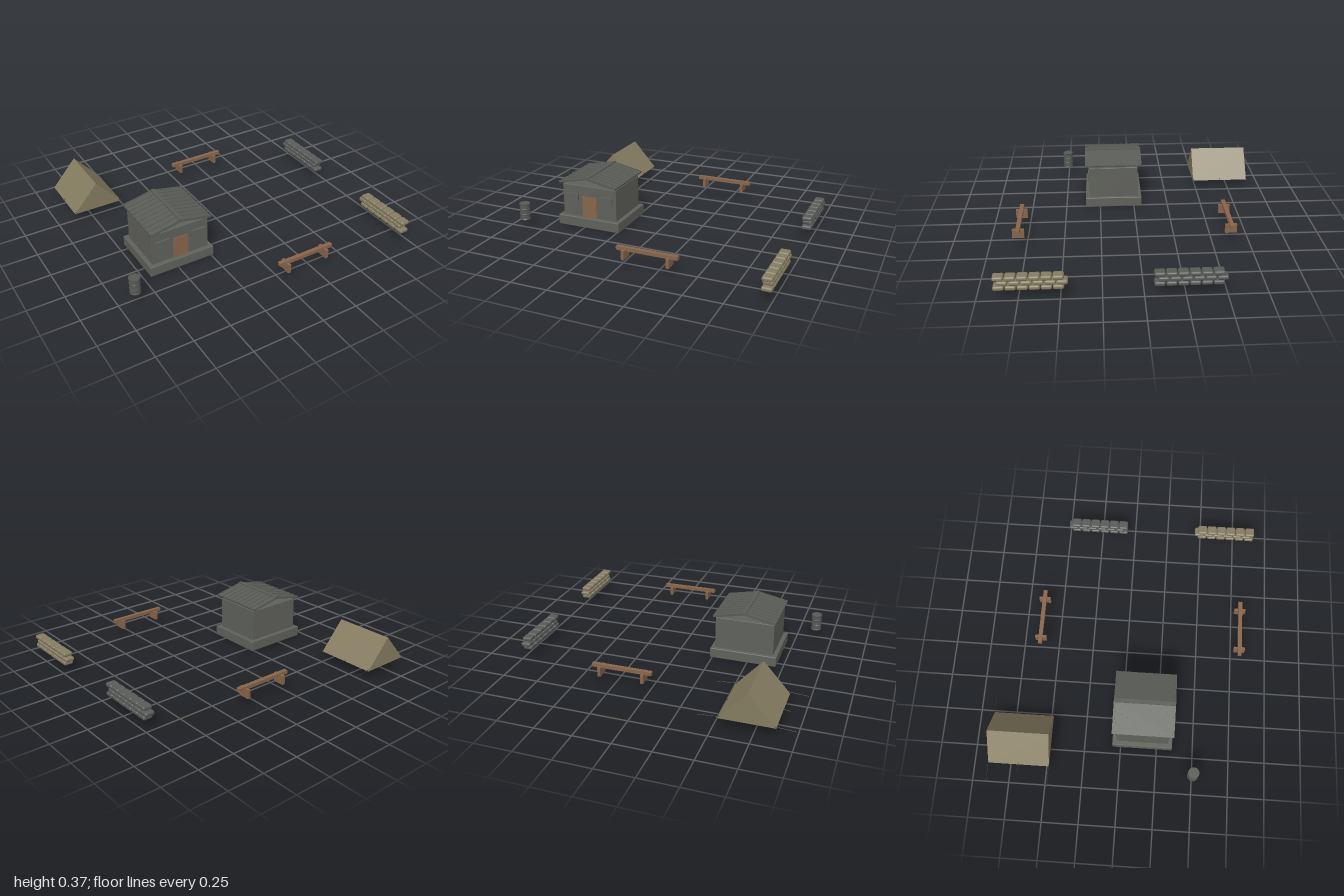
import * as THREE from 'three';
import { RoundedBoxGeometry } from 'three/addons/geometries/RoundedBoxGeometry.js';

const mat = (name, color, extra = {}) => {
  const m = new THREE.MeshStandardMaterial({ color, ...extra });
  m.name = name;
  return m;
};

export function createModel() {
  const concrete = mat('concrete', 0x5f615b);
  const metal = mat('metal', 0x595c56);
  const wood = mat('wood', 0x88654a);
  const canvas = mat('canvas', 0x857c60);
  const sand = mat('sandCloth', 0x857c62);
  const greyCloth = mat('greyCloth', 0x595c58);
  const rope = mat('rope', 0x35342e);

  const model = new THREE.Group();
  model.name = 'outpost';
  const ground = 0.065;

  const group = (name, x = 0, y = 0, z = 0, parent = model) => {
    const g = new THREE.Group();
    g.name = name;
    g.position.set(x, y, z);
    parent.add(g);
    return g;
  };
  const add = (parent, name, geo, material, x = 0, y = 0, z = 0) => {
    const m = new THREE.Mesh(geo, material);
    m.name = name;
    m.position.set(x, y, z);
    parent.add(m);
    return m;
  };
  const box = (parent, name, material, w, h, d, x, y, z) =>
    add(parent, name, new THREE.BoxGeometry(w, h, d), material, x, y, z);
  const rounded = (parent, name, material, w, h, d, r, x, y, z) =>
    add(parent, name, new RoundedBoxGeometry(w, h, d, 1, r), material, x, y, z);

  // Guard hut: slab, walls, door and windows
  const hut = group('hut', -0.468, 0, 0.149);
  rounded(hut, 'foundation', concrete, 0.47, 0.072, 0.414, 0.005, 0, 0.036, 0);
  rounded(hut, 'walls', concrete, 0.412, 0.232, 0.356, 0.003, 0, 0.182, 0);
  box(hut, 'door', wood, 0.11, 0.152, 0.008, 0.002, 0.148, 0.179);
  for (const s of [-1, 1]) {
    box(hut, 'window', concrete, 0.097, 0.062, 0.012, s * 0.131, 0.207, 0.183);
  }

  // Low-pitched roof floating just above the walls, with ribs down each slope
  const slope = 0.2;
  const panelLength = 0.223;
  for (const s of [-1, 1]) {
    const side = group('roofSide', 0, 0.367, 0, hut);
    side.rotation.z = -s * slope;
    box(side, 'roofPanel', metal, panelLength, 0.011, 0.414, s * panelLength / 2, -0.007, 0);
    for (let i = 0; i < 10; i++) {
      box(side, 'roofRib', metal, panelLength, 0.005, 0.009,
        s * panelLength / 2, 0.0005, (i - 4.5) * 0.0445);
    }
  }
  box(hut, 'ridgeCap', metal, 0.026, 0.008, 0.414, 0, 0.368, 0);

  // Barrel with hoops and a rim
  const barrel = group('barrel', -0.882, ground, 0.503);
  const hoops = [[0, 0], [0.036, 0], [0.037, 0.004], [0.035, 0.008], [0.035, 0.036],
    [0.037, 0.04], [0.035, 0.044], [0.035, 0.074], [0.037, 0.078], [0.035, 0.082],
    [0.035, 0.108], [0.038, 0.111], [0.038, 0.116], [0.034, 0.116], [0.034, 0.113], [0, 0.113]];
  const barrelMetal = mat('barrelMetal', 0x565a55, { flatShading: true });
  add(barrel, 'barrelBody',
    new THREE.LatheGeometry(hoops.map(([x, y]) => new THREE.Vector2(x, y)), 18), barrelMetal);

  // Closed ridge tent
  const tent = group('tent', -0.704, ground, -0.687);
  const outline = new THREE.Shape();
  outline.moveTo(-0.178, 0);
  outline.lineTo(0.178, 0);
  outline.lineTo(0, 0.2);
  outline.closePath();
  add(tent, 'tentCanvas',
    new THREE.ExtrudeGeometry(outline, { depth: 0.417, bevelEnabled: false }), canvas, 0, 0, -0.2085);

  // Guy ropes staked out on both sides
  const guy = (x0, x1, z) => {
    const line = new THREE.LineCurve3(
      new THREE.Vector3(x0, 0.012, z), new THREE.Vector3(x1, 0.002, z));
    add(tent, 'guyRope', new THREE.TubeGeometry(line, 1, 0.0018, 5), rope);
  };
  for (const s of [-1, 1]) {
    for (const z of [-0.207, 0.207]) guy(s * 0.165, s * 0.296, z);
    guy(s * 0.165, s * (s < 0 ? 0.221 : 0.182), 0);
  }

  // Two plank barriers on broad legs
  for (const z of [-0.626, 0.802]) {
    const barrier = group('barrier', 0.19, 0, z);
    box(barrier, 'plank', wood, 0.412, 0.024, 0.028, 0, 0.129, 0);
    for (const x of [-0.15, 0.148]) {
      box(barrier, 'barrierLeg', wood, 0.02, 0.062, 0.08, x, ground + 0.031, 0);
    }
  }

  // Sandbag walls: three staggered rows of six
  const bag = new RoundedBoxGeometry(0.067, 0.029, 0.067, 2, 0.011);
  const walls = [['sandbagWall', 0.896, sand], ['greySandbagWall', -0.058, greyCloth]];
  for (const [name, start, material] of walls) {
    const wall = group(name, 0.9665, ground, start);
    for (let row = 0; row < 3; row++) {
      for (let i = 0; i < 6; i++) {
        add(wall, 'sandbag', bag, material, 0, 0.0145 + row * 0.0315,
          -0.0335 - i * 0.0708 - (row === 1 ? 0.023 : 0));
      }
    }
  }
  return model;
}
